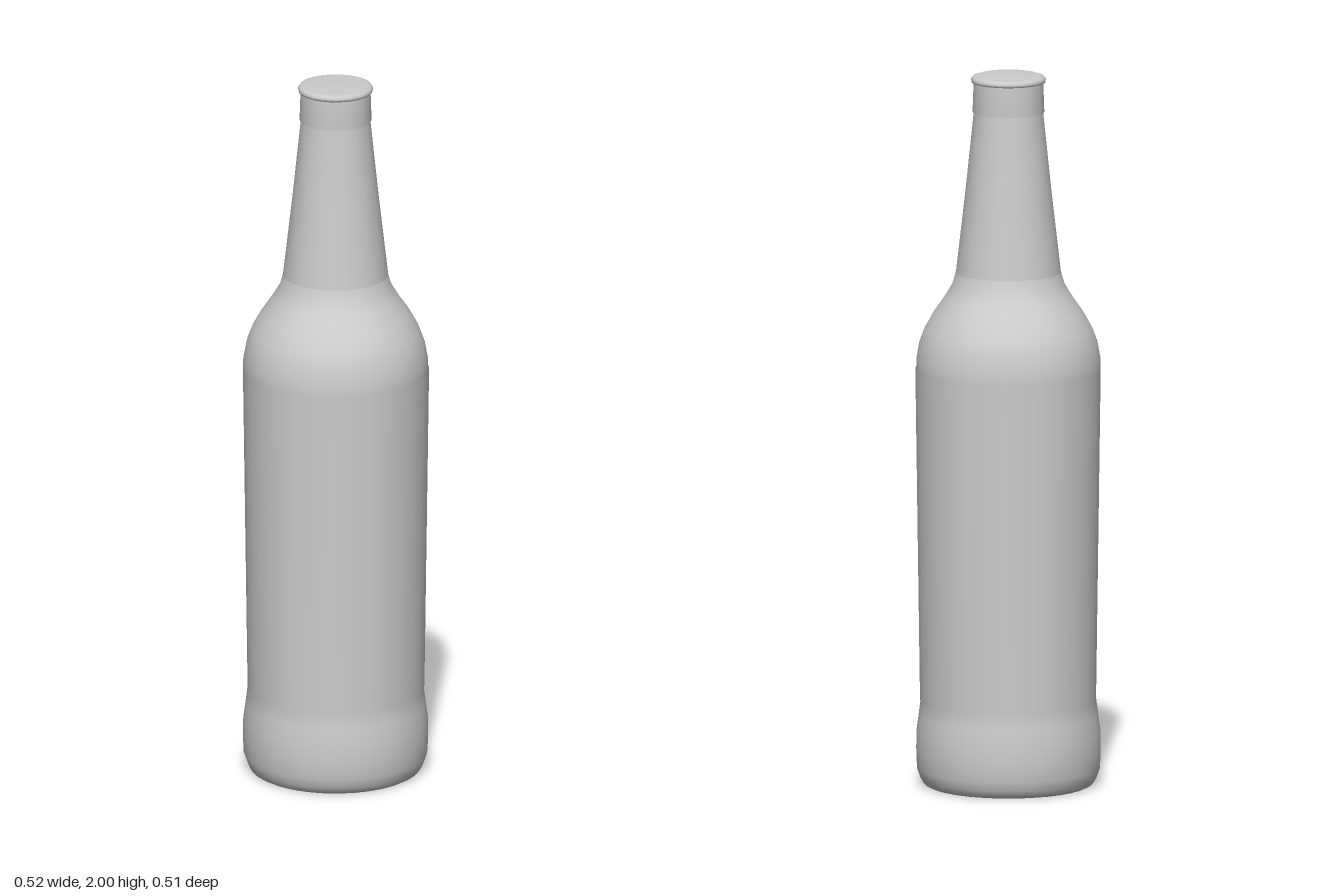
import * as THREE from 'three';

const SIDES = 32;
const vec = (pts) => pts.map(([r, y]) => new THREE.Vector2(r, y));

export function createModel() {
  const group = new THREE.Group();
  const material = new THREE.MeshStandardMaterial({ color: 0xcccccc });
  const sheet = new THREE.MeshStandardMaterial({ color: 0xcccccc, side: THREE.DoubleSide });

  // Revolves a bottom-to-top profile of [radius, height] pairs
  function revolve(name, pts, mat = material, segments = SIDES, start = 0, sweep = Math.PI * 2) {
    const mesh = new THREE.Mesh(new THREE.LatheGeometry(vec(pts), segments, start, sweep), mat);
    mesh.name = name;
    group.add(mesh);
  }

  // Base, body and shoulder
  revolve('body', [
    [0, 0.005], [0.225, 0], [0.236, 0.006], [0.245, 0.022], [0.255, 0.05], [0.257, 0.1],
    [0.256, 0.15], [0.25, 0.195], [0.244, 0.24], [0.257, 1.17], [0.256, 1.2],
    [0.248, 1.245], [0.233, 1.285], [0.208, 1.33], [0.175, 1.378], [0.156, 1.41], [0.146, 1.445],
  ]);

  // Tapered neck
  revolve('neck', [[0.146, 1.445], [0.12, 1.67], [0.096, 1.9], [0.093, 1.96]]);

  // Band around the mouth
  revolve('neckBand', [[0.094, 1.897], [0.1, 1.897], [0.097, 1.982]]);

  // Cap with a slightly flared rim and rounded top edge
  revolve('cap', [[0.09, 1.98], [0.103, 1.981], [0.104, 1.988], [0.1, 1.995], [0.088, 1.999], [0, 2]]);

  // Label wrapped around the left side
  revolve('label', [[0.2465, 0.24], [0.2595, 1.17]], sheet, 12, Math.PI / 8, Math.PI * 0.75);

  return group;
}
